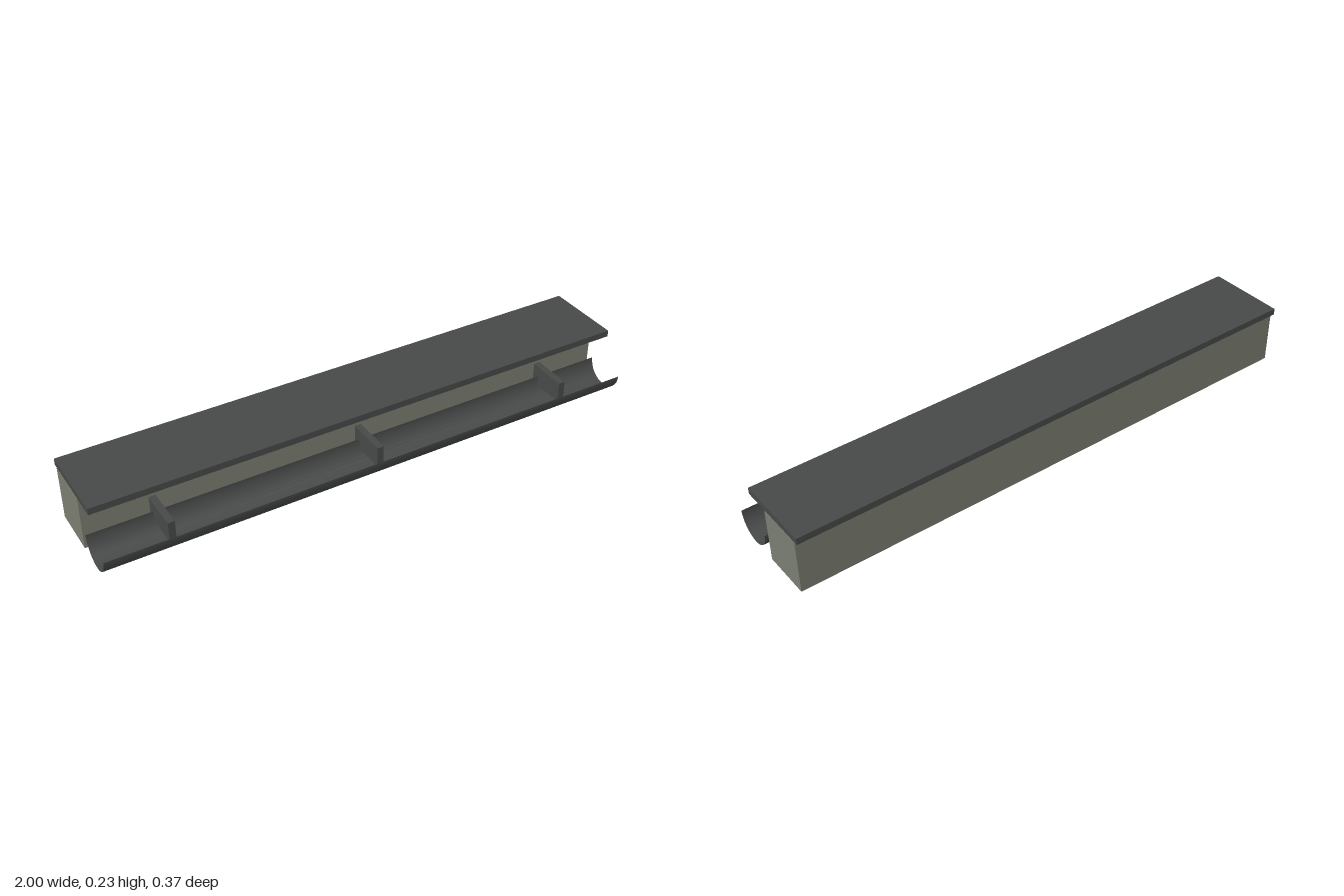
import * as THREE from 'three';

const wallMaterial = new THREE.MeshStandardMaterial({ color: 0x7b7e72 });
const darkMaterial = new THREE.MeshStandardMaterial({ color: 0x474949 });
const gutterMaterial = new THREE.MeshStandardMaterial({ color: 0x474949, side: THREE.DoubleSide });

// Box given by its x centre, width, and its y and z ranges
function box(name, material, x, width, [y0, y1], [z0, z1]) {
  const mesh = new THREE.Mesh(new THREE.BoxGeometry(width, y1 - y0, z1 - z0), material);
  mesh.position.set(x, (y0 + y1) / 2, (z0 + z1) / 2);
  mesh.name = name;
  return mesh;
}

export function createModel() {
  const group = new THREE.Group();
  group.name = 'roofEdgeWithGutter';

  // Wall beam and the overhanging slab just above it
  group.add(box('wall', wallMaterial, 0, 2, [0, 0.2], [-0.172, 0.008]));
  group.add(box('roofSlab', darkMaterial, 0, 2, [0.203, 0.227], [-0.187, 0.103]));

  // Thin half-round gutter, open at the top and at both ends
  const radius = 0.075;
  const trough = new THREE.CylinderGeometry(radius, radius, 2, 16, 1, true, Math.PI, Math.PI);
  trough.rotateZ(Math.PI / 2);
  const gutter = new THREE.Mesh(trough, gutterMaterial);
  gutter.position.set(0, radius, 0.112);
  gutter.name = 'gutter';
  group.add(gutter);

  // Brackets holding the gutter to the wall
  for (const x of [-0.76, 0, 0.76]) {
    group.add(box('gutterBracket', darkMaterial, x, 0.024, [0.038, 0.113], [0.008, 0.158]));
  }

  return group;
}
